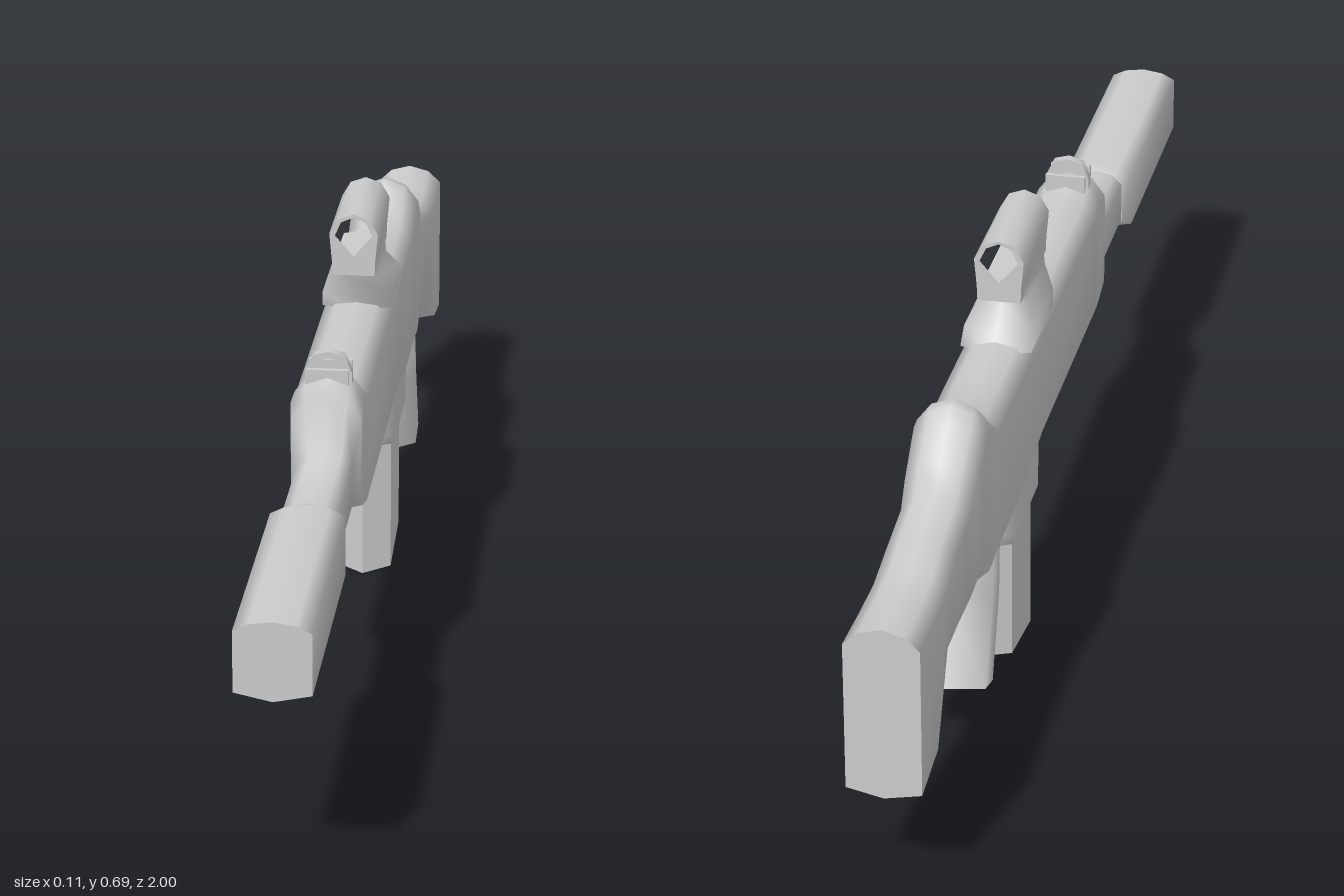
import * as THREE from 'three';
import { toCreasedNormals } from 'three/addons/utils/BufferGeometryUtils.js';

const grey = new THREE.MeshStandardMaterial({ color: 0xcccccc });

// Skin over rings of [x, y, z] points, closed by a flat cap at each end
function loft(rings, crease) {
  const n = rings[0].length, pos = rings.flat(2), idx = [];
  for (let i = 0; i < rings.length - 1; i++) {
    for (let j = 0; j < n; j++) {
      const a = i * n + j, b = i * n + (j + 1) % n;
      idx.push(a, b, a + n, b, b + n, a + n);
    }
  }
  const cap = (ring, flip) => {
    const s = pos.length / 3;
    pos.push(...ring.flat());
    for (let j = 1; j < n - 1; j++) idx.push(s, ...(flip ? [s + j + 1, s + j] : [s + j, s + j + 1]));
  };
  cap(rings[0], true);
  cap(rings[rings.length - 1], false);
  const g = new THREE.BufferGeometry();
  g.setAttribute('position', new THREE.Float32BufferAttribute(pos, 3));
  g.setIndex(idx);
  g.computeVertexNormals();
  return crease ? toCreasedNormals(g, crease) : g;
}

// Upright ridged section of the body
function section([z, bottom, top, w, drop]) {
  const half = [[0.6 * w, top - 0.3 * drop], [w, top - drop], [w, bottom + 0.012]];
  return [
    [0, top, z],
    ...half.map(([x, y]) => [x, y, z]),
    [0, bottom, z],
    ...half.reverse().map(([x, y]) => [-x, y, z]),
  ];
}

// Six-sided section from a front point to a back point, used bottom to top
function slab([zf, yf, zb, yb, w, inset = 0.14]) {
  const at = (x, t) => [x, yf + (yb - yf) * t, zf + (zb - zf) * t];
  return [at(0, 0), at(w, inset), at(w, 1 - inset), at(0, 1), at(-w, 1 - inset), at(-w, inset)];
}

// Flat outline extruded along z, centred on zMid
function plate(outline, depth, zMid, hole) {
  const shape = new THREE.Shape(outline.map(p => new THREE.Vector2(...p)));
  if (hole) shape.holes.push(new THREE.Path(hole.map(p => new THREE.Vector2(...p))));
  const g = new THREE.ExtrudeGeometry(shape, { depth, bevelEnabled: false });
  g.translate(0, 0, zMid - depth / 2);
  return toCreasedNormals(g, 0.9);
}

const mirrored = half => [...half, ...half.filter(p => p[0] !== 0).reverse().map(([x, y]) => [-x, y])];

export function createModel() {
  const group = new THREE.Group();
  const add = (name, geometry) => {
    const mesh = new THREE.Mesh(geometry, grey);
    mesh.name = name;
    group.add(mesh);
    return mesh;
  };

  // Suppressor: z, bottom, top, half width, shoulder drop
  add('suppressor', loft([
    [1, 0.328, 0.45, 0.056, 0.016],
    [0.585, 0.328, 0.45, 0.056, 0.016],
    [0.565, 0.342, 0.444, 0.043, 0.02],
  ].map(section)));

  // Barrel, receiver with rear hump, and stock in one run
  add('receiverAndStock', loft([
    [0.57, 0.345, 0.443, 0.042, 0.02],
    [0.365, 0.345, 0.443, 0.042, 0.02],
    [0.35, 0.34, 0.53, 0.054, 0.04],
    [0.335, 0.336, 0.553, 0.056, 0.042],
    [0.285, 0.322, 0.552, 0.056, 0.042],
    [0.265, 0.32, 0.53, 0.056, 0.03],
    [-0.165, 0.32, 0.53, 0.056, 0.03],
    [-0.37, 0.295, 0.53, 0.056, 0.03],
    [-0.48, 0.295, 0.53, 0.056, 0.03],
    [-0.53, 0.292, 0.57, 0.056, 0.04],
    [-0.542, 0.29, 0.58, 0.056, 0.042],
    [-0.562, 0.29, 0.578, 0.056, 0.042],
    [-0.58, 0.298, 0.56, 0.056, 0.04],
    [-0.63, 0.315, 0.525, 0.054, 0.04],
    [-0.665, 0.306, 0.488, 0.052, 0.035],
    [-0.75, 0.31, 0.475, 0.052, 0.035],
    [-0.825, 0.315, 0.45, 0.054, 0.03],
    [-0.9, 0.19, 0.448, 0.056, 0.03],
    [-1, 0.175, 0.455, 0.056, 0.03],
  ].map(section)));

  // Magazine and its well
  add('magazine', loft([
    [-0.182, 0, -0.374, 0.032, 0.045],
    [-0.182, 0.26, -0.374, 0.26, 0.045],
  ].map(slab), 0.9));
  add('magazineWell', loft([
    [-0.18, 0.228, -0.378, 0.228, 0.046],
    [-0.168, 0.25, -0.385, 0.25, 0.055],
    [-0.165, 0.36, -0.385, 0.36, 0.056],
  ].map(slab)));

  // Pistol grip, raked backwards
  add('grip', loft([
    [-0.512, 0.088, -0.615, 0.12, 0.056, 0.25],
    [-0.465, 0.225, -0.565, 0.235, 0.056, 0.25],
    [-0.465, 0.29, -0.545, 0.29, 0.056, 0.25],
    [-0.46, 0.34, -0.54, 0.34, 0.054, 0.25],
  ].map(slab)));

  // Trigger guard, drawn in side outline
  const guard = plate([
    [-0.48, 0.217], [-0.408, 0.208], [-0.365, 0.228],
    [-0.365, 0.25], [-0.39, 0.25], [-0.412, 0.228], [-0.48, 0.238],
  ], 0.06, 0);
  guard.rotateY(-Math.PI / 2);
  add('triggerGuard', guard);

  // Scope: flared mount under a hollow housing
  add('scopeMount', loft([
    [-0.068, 0.515, -0.275, 0.515, 0.056, 0.1],
    [-0.064, 0.54, -0.25, 0.54, 0.055, 0.1],
    [-0.046, 0.575, -0.21, 0.575, 0.037, 0.1],
    [-0.04, 0.598, -0.225, 0.598, 0.034, 0.1],
  ].map(slab)));
  const housing = mirrored([[0, 0.688], [0.025, 0.679], [0.039, 0.655], [0.035, 0.61], [0.034, 0.585]]);
  const bore = mirrored([[0, 0.683], [0.02, 0.674], [0.03, 0.652], [0, 0.617]]);
  add('scopeHousing', plate(housing, 0.19, -0.135, bore));

  // Front sight: hooded arch between two low bars
  const arch = mirrored([[0, 0.588], [0.024, 0.581], [0.036, 0.555], [0.036, 0.53], [0.025, 0.53], [0.025, 0.555], [0.017, 0.572], [0, 0.577]]
    .slice(0, 4));
  const archHole = mirrored([[0, 0.578], [0.017, 0.573], [0.026, 0.553], [0.026, 0.54]]);
  add('frontSightArch', plate(arch, 0.016, 0.305, archHole));
  for (const z of [0.328, 0.283]) {
    const bar = add('frontSightBar', new THREE.BoxGeometry(0.066, 0.03, 0.008));
    bar.position.set(0, 0.55, z);
  }

  return group;
}
